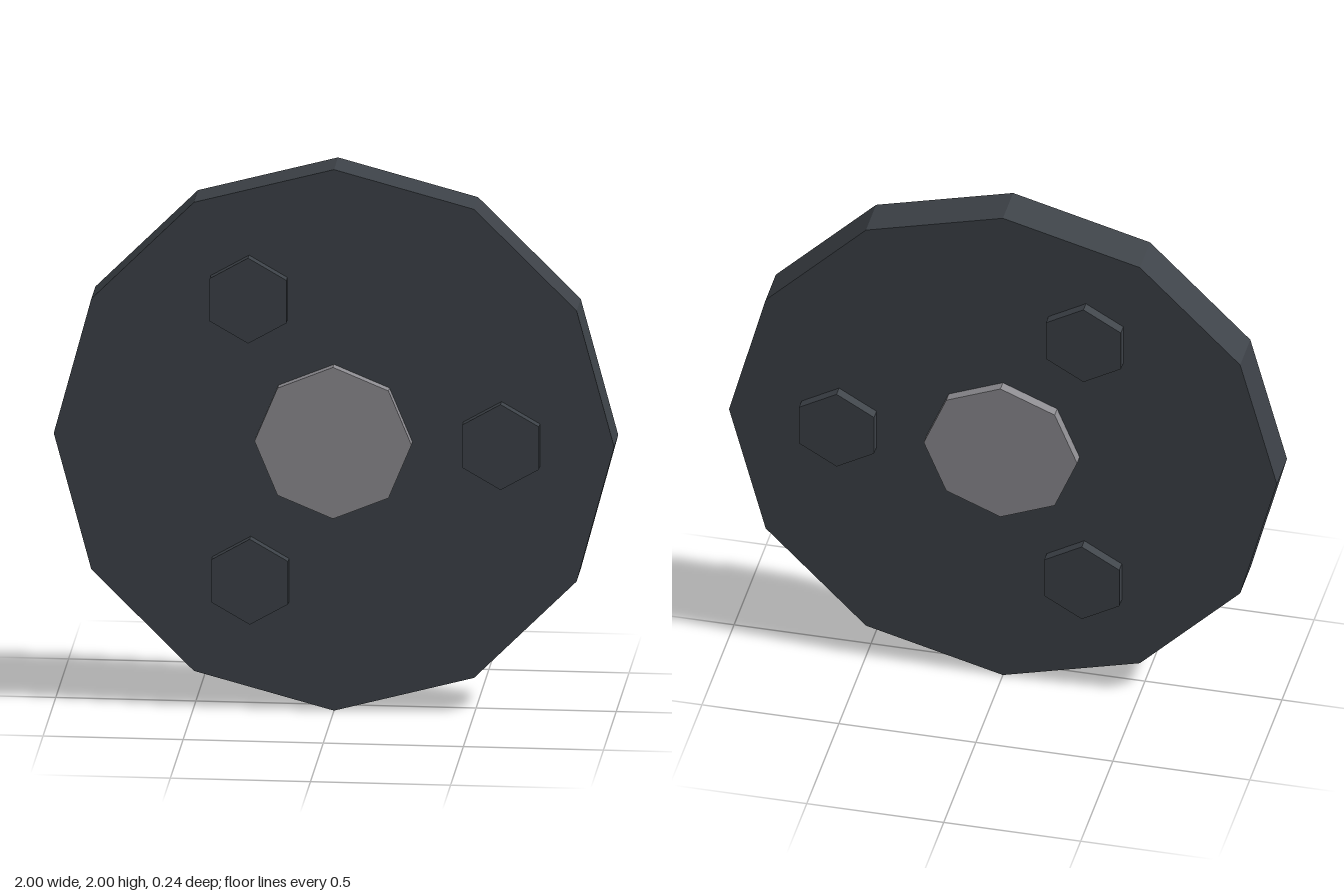
import * as THREE from 'three';

export function createModel() {
  const group = new THREE.Group();
  const darkSteel = new THREE.MeshStandardMaterial({ name: 'darkSteel', color: 0x3c4147, flatShading: true });
  const lightSteel = new THREE.MeshStandardMaterial({ name: 'lightSteel', color: 0x8c8b90, flatShading: true });

  // Prism lying along z with one corner pointing straight up
  function addPrism(name, radius, depth, sides, material, x, y) {
    const geometry = new THREE.CylinderGeometry(radius, radius, depth, sides).rotateX(Math.PI / 2);
    const mesh = new THREE.Mesh(geometry, material);
    mesh.name = name;
    mesh.position.set(x, y, 0);
    group.add(mesh);
  }

  // Twelve-sided wheel plate and the hub passing through it
  addPrism('disc', 1, 0.158, 12, darkSteel, 0, 1);
  addPrism('hub', 0.28, 0.236, 8, lightSteel, 0, 1);

  // Three hexagonal bolts that show on both faces
  const bolts = [[0.598, 1], [-0.303, 1.518], [-0.297, 0.479]];
  bolts.forEach(([x, y], i) => addPrism('bolt' + (i + 1), 0.158, 0.236, 6, darkSteel, x, y));

  return group;
}
